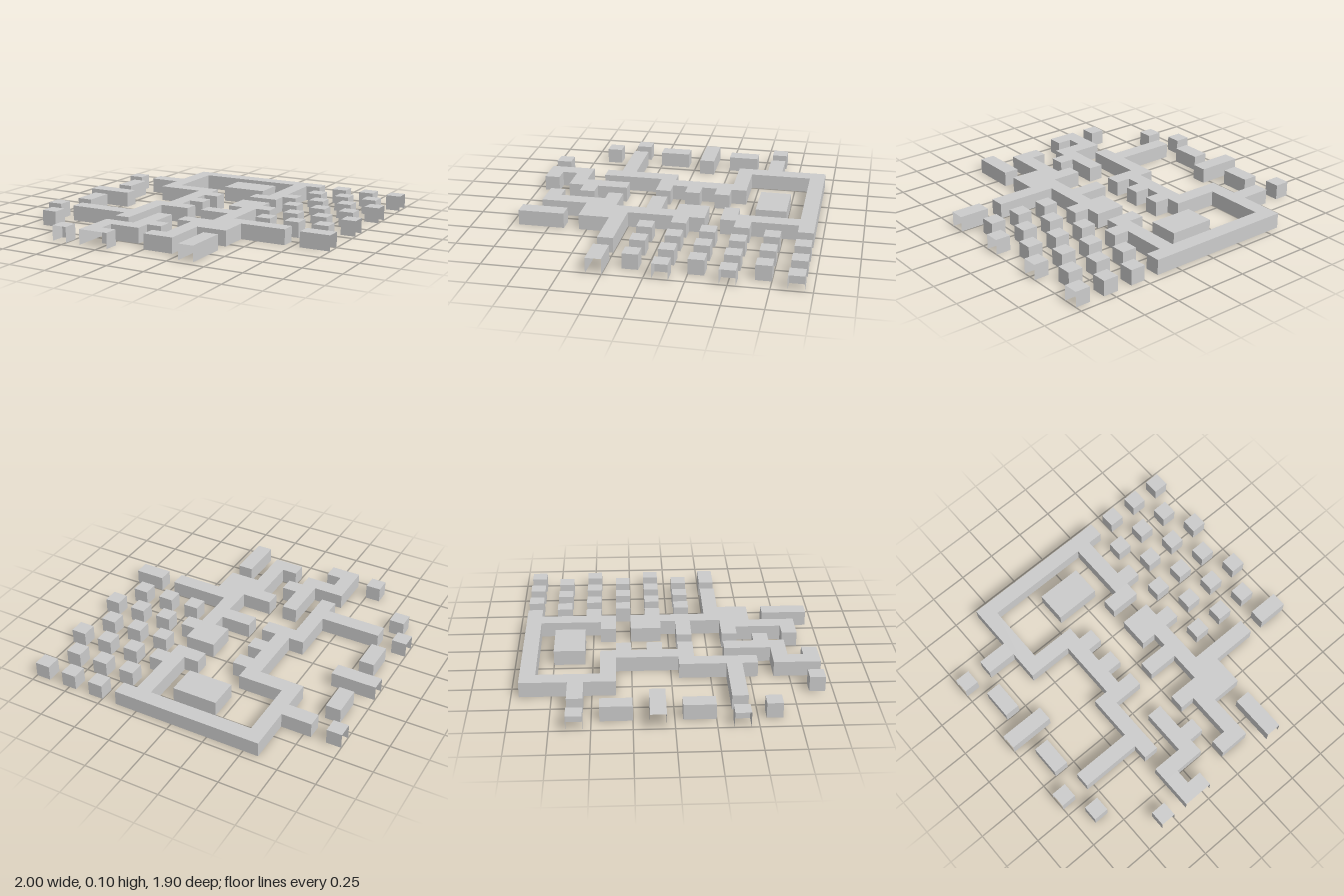
import * as THREE from 'three';
import { mergeGeometries } from 'three/addons/utils/BufferGeometryUtils.js';

const S = 0.1, COLS = 20, ROWS = 19;

// Footprint of each part on the cell grid: [column, row, columns wide, rows deep]
const parts = {
  backEnclosure: [[4, 0, 10, 1], [4, 1, 1, 4], [12, 1, 1, 4], [13, 4, 1, 1], [2, 3, 2, 1], [4, 5, 4, 1], [11, 5, 2, 1]],
  enclosureBlock: [[8, 2, 3, 2]],
  rightWall: [[7, 6, 1, 4], [8, 6, 1, 1], [8, 8, 1, 1], [6, 10, 3, 1], [6, 11, 1, 4], [2, 13, 4, 1]],
  leftWall: [[11, 7, 2, 2], [13, 8, 1, 1], [12, 9, 1, 4], [10, 10, 2, 1], [13, 12, 4, 1],
    [10, 13, 4, 1], [11, 14, 3, 1], [11, 15, 1, 3], [10, 17, 1, 1]],
  frontHook: [[8, 13, 1, 3], [9, 15, 1, 1], [6, 16, 3, 1], [6, 17, 1, 2], [7, 18, 1, 1]],
  frontBar: [[13, 16, 1, 3]],
  sideBlocks: [[0, 3, 1, 1], [1, 5, 1, 2], [0, 8, 3, 1], [1, 10, 1, 2], [0, 13, 1, 1], [1, 15, 1, 1], [4, 18, 1, 1]],
  studs: [],
  studBar: [[18, 12, 2, 1]],
};
// Staggered field of single studs
for (let i = 0; i < 6; i++)
  for (let k = 0; k < 3; k++) parts.studs.push([(i % 2 ? 14 : 15) + 2 * k, 2 * i, 1, 1]);

function cellsOf(rects) {
  const cells = [];
  for (const [c, r, w, d] of rects)
    for (let j = r; j < r + d; j++)
      for (let i = c; i < c + w; i++) cells.push([i, j]);
  return cells;
}

export function createModel() {
  const model = new THREE.Group();
  model.name = 'mazeTile';
  // Open shells, so both sides of every face show
  const material = new THREE.MeshStandardMaterial({ color: 0xcccccc, flatShading: true, side: THREE.DoubleSide });

  const filled = new Set();
  for (const rects of Object.values(parts))
    for (const [i, j] of cellsOf(rects)) filled.add(j * COLS + i);

  // A wall stands only against an empty cell; the tile's outer border stays open, except at the back
  const needsWall = (i, j) => i >= 0 && i < COLS && j < ROWS && !filled.has(j * COLS + i);

  for (const [name, rects] of Object.entries(parts)) {
    const walls = [], tops = [];
    // Flat roofs, open underneath
    for (const [c, r, w, d] of rects)
      tops.push(new THREE.PlaneGeometry(w * S, d * S).rotateX(-Math.PI / 2)
        .translate((c + w / 2) * S - 1, S, (r + d / 2) * S - 0.95));
    // Side walls, turned to face each of the four neighbours
    for (const [i, j] of cellsOf(rects))
      [[0, 1], [1, 0], [0, -1], [-1, 0]].forEach(([dx, dz], k) => {
        if (!needsWall(i + dx, j + dz)) return;
        walls.push(new THREE.PlaneGeometry(S, S).translate(0, S / 2, S / 2).rotateY(k * Math.PI / 2)
          .translate((i + 0.5) * S - 1, 0, (j + 0.5) * S - 0.95));
      });
    const part = new THREE.Group();
    part.name = name;
    const top = new THREE.Mesh(mergeGeometries(tops), material);
    top.name = name + 'Top';
    const sides = new THREE.Mesh(mergeGeometries(walls), material);
    sides.name = name + 'Sides';
    part.add(top, sides);
    model.add(part);
  }
  return model;
}
